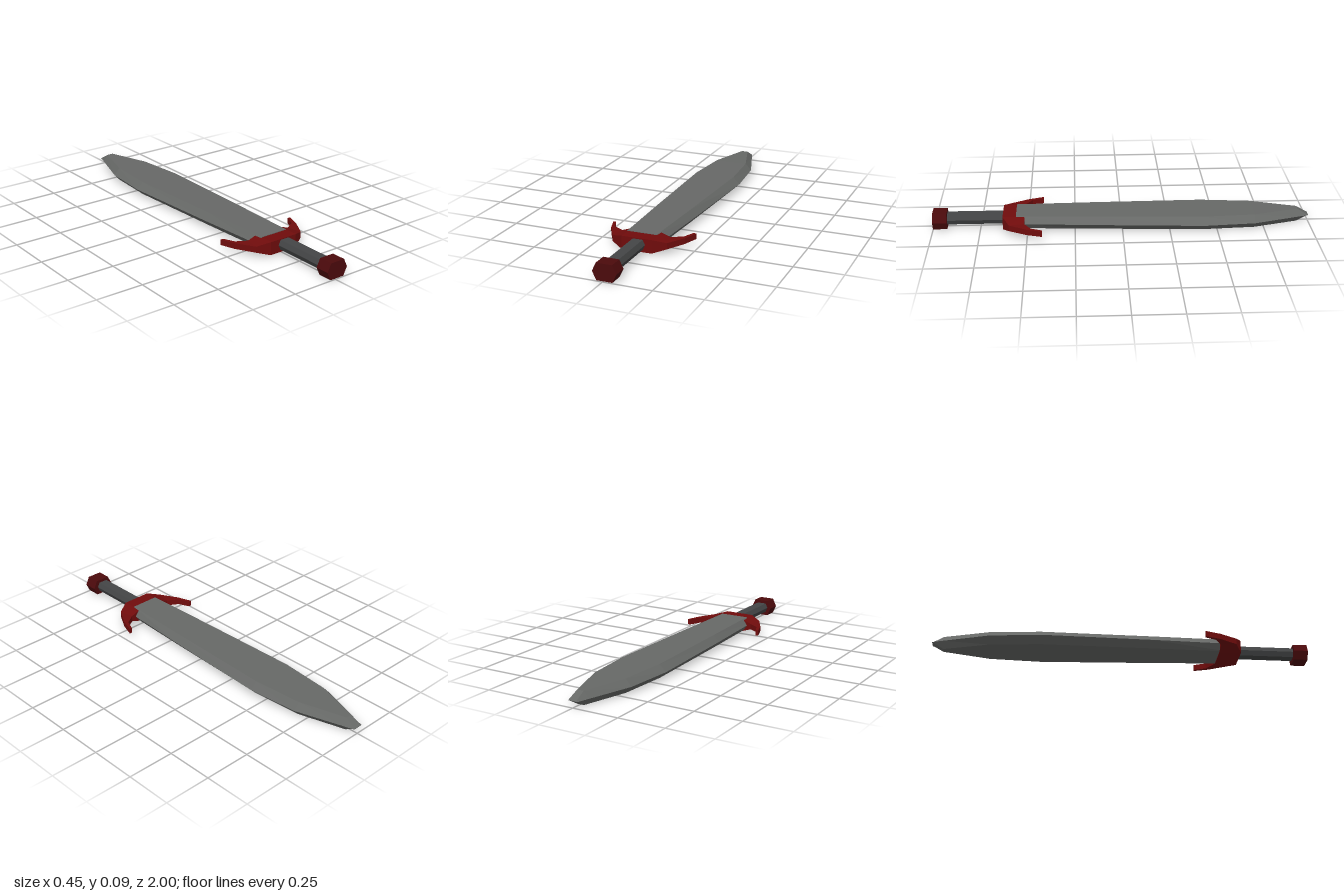
import * as THREE from 'three';

// Closed, faceted solid through a list of equal-length rings of [x, y, z] points.
// Rings run counter-clockwise seen from the first cap's outside.
function loft(name, rings, color) {
  const n = rings[0].length, last = rings.length - 1, pos = [];
  const tri = (a, b, c) => pos.push(...a, ...b, ...c);
  for (let s = 0; s < last; s++) {
    for (let i = 0; i < n; i++) {
      const j = (i + 1) % n, A = rings[s], B = rings[s + 1];
      tri(A[i], B[i], A[j]);
      tri(A[j], B[i], B[j]);
    }
  }
  for (let i = 1; i < n - 1; i++) {
    tri(rings[0][0], rings[0][i], rings[0][i + 1]);
    tri(rings[last][0], rings[last][i + 1], rings[last][i]);
  }
  const geo = new THREE.BufferGeometry();
  geo.setAttribute('position', new THREE.Float32BufferAttribute(pos, 3));
  geo.computeVertexNormals();
  const mesh = new THREE.Mesh(geo, new THREE.MeshStandardMaterial({ color, flatShading: true }));
  mesh.name = name;
  return mesh;
}

// Six-sided section across z: sharp sides at half width w, flats of half width f at height ±h
const hex = (cx, cy, z, w, f, h) => [
  [w, 0], [f, h], [-f, h], [-w, 0], [-f, -h], [f, -h],
].map(([x, y]) => [cx + x, cy + y, z]);

export function createModel() {
  const sword = new THREE.Group();
  sword.name = 'sword';

  // Blade: z, half width, flat half width, half thickness; droops slightly to the tip
  const blade = [
    [0.56, 0.103, 0.078, 0.034],
    [0.15, 0.125, 0.094, 0.035],
    [-0.43, 0.15, 0.112, 0.036],
    [-0.7, 0.124, 0.09, 0.036],
    [-0.94, 0.046, 0.018, 0.035],
    [-1, 0.027, 0.018, 0.0005],
  ].map(([z, w, f, h]) => hex(-0.002, 0.0445 + 0.009 * z, z, w, f, h));
  sword.add(loft('blade', blade, 0x666866));

  // Guard: outer x, outer z, inner x, inner z, half height; from one horn tip to the middle
  const half = [
    [0.227, 0.42, 0.212, 0.42, 0.015],
    [0.2, 0.5, 0.186, 0.48, 0.015],
    [0.145, 0.595, 0.13, 0.515, 0.016],
    [0.08, 0.63, 0.075, 0.515, 0.035],
  ];
  const mirrored = half.map(([ox, oz, ix, iz, h]) => [-ox, oz, -ix, iz, h]).reverse();
  const guard = [...half, ...mirrored].map(([ox, oz, ix, iz, h]) => {
    const y = 0.046 + 0.005 * ox;
    return [[ox, y - h, oz], [ix, y - h, iz], [ix, y + h, iz], [ox, y + h, oz]];
  });
  sword.add(loft('guard', guard, 0x700c0c));

  // Grip and pommel: six-sided bars
  const bar = (name, cx, cy, z0, z1, w, f, h, color) =>
    sword.add(loft(name, [hex(cx, cy, z0, w, f, h), hex(cx, cy, z1, w, f, h)], color));
  bar('grip', 0.007, 0.05, 0.94, 0.6, 0.038, 0.026, 0.026, 0x444546);
  bar('pommel', 0.01, 0.0485, 1, 0.925, 0.062, 0.041, 0.0435, 0x4c0a0c);

  return sword;
}
